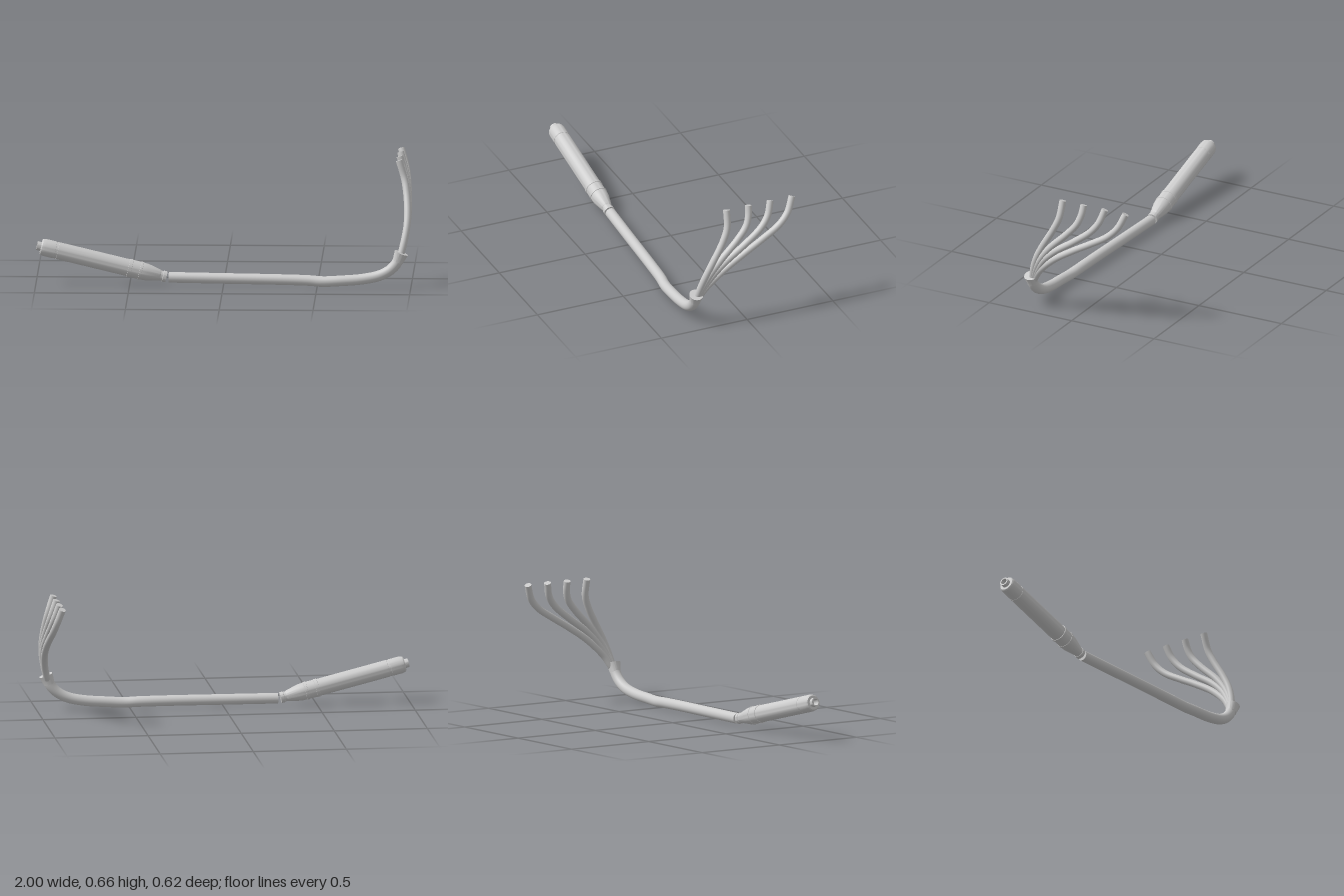
import * as THREE from 'three';
import { toCreasedNormals } from 'three/addons/utils/BufferGeometryUtils.js';

const steel = new THREE.MeshStandardMaterial({ color: 0xcccccc });
steel.name = 'brushed steel';

const vec = (p) => new THREE.Vector3(...p);
const UP = new THREE.Vector3(0, 1, 0);

// Smooth pipe through the given points, closed with a disc at each end
function pipe(name, points, radius, segments) {
  const group = new THREE.Group();
  group.name = name;
  const curve = new THREE.CatmullRomCurve3(points.map(vec), false, 'centripetal');
  const tube = new THREE.Mesh(new THREE.TubeGeometry(curve, segments, radius, 24), steel);
  tube.name = name + 'Tube';
  group.add(tube);
  for (const t of [0, 1]) {
    const cap = new THREE.Mesh(new THREE.CircleGeometry(radius, 24), steel);
    const dir = curve.getTangentAt(t).multiplyScalar(t ? 1 : -1);
    cap.name = name + 'Cap';
    cap.position.copy(curve.getPointAt(t));
    cap.quaternion.setFromUnitVectors(new THREE.Vector3(0, 0, 1), dir);
    group.add(cap);
  }
  return group;
}

// Turned part whose axis runs from a to b; profile is [radius, distance from a]
function turned(name, a, b, profile) {
  const lathe = new THREE.LatheGeometry(profile.map(([r, s]) => new THREE.Vector2(r, s)), 40);
  const mesh = new THREE.Mesh(toCreasedNormals(lathe, 0.45), steel);
  mesh.name = name;
  mesh.position.copy(vec(a));
  mesh.quaternion.setFromUnitVectors(UP, vec(b).sub(vec(a)).normalize());
  return mesh;
}

export function createModel() {
  const model = new THREE.Group();
  model.name = 'exhaustSystem';

  // Silencer: hollow outlet, end cap, body with clamp bands, tapered inlet
  model.add(turned('silencer', [-0.994, 0.213, 0.24], [-0.3, 0.043, 0.222], [
    [0, 0.04], [0.017, 0.04], [0.017, 0], [0.024, 0], [0.024, 0.022],
    [0.038, 0.022], [0.043, 0.028], [0.046, 0.045],
    [0.046, 0.1], [0.0445, 0.101], [0.0445, 0.113], [0.046, 0.114],
    [0.046, 0.5], [0.049, 0.501], [0.049, 0.518], [0.047, 0.519],
    [0.047, 0.562], [0.049, 0.563], [0.049, 0.575], [0.0465, 0.576],
    [0.045, 0.605], [0.03, 0.672], [0.027, 0.678], [0.027, 0.69],
    [0.03, 0.692], [0.03, 0.71], [0, 0.71],
  ]));

  // Long link pipe, bending upward into the collector
  model.add(pipe('linkPipe', [
    [-0.291, 0.042, 0.222], [0, 0.04, 0.237], [0.3, 0.038, 0.252], [0.46, 0.035, 0.261],
    [0.53, 0.031, 0.269], [0.62, 0.036, 0.273], [0.74, 0.046, 0.273], [0.83, 0.065, 0.273],
    [0.885, 0.093, 0.273], [0.918, 0.125, 0.273], [0.936, 0.155, 0.273],
  ], 0.0285, 80));

  // Flared collector
  model.add(turned('collector', [0.93, 0.141, 0.273], [0.949, 0.189, 0.274], [
    [0, 0], [0.0295, 0], [0.0295, 0.004], [0.0375, 0.052], [0, 0.052],
  ]));

  // Four header pipes fanning toward the back; all share one sideways bow
  const bow = new THREE.SplineCurve([
    [0.17, 0.944], [0.25, 0.964], [0.32, 0.976], [0.39, 0.98],
    [0.5, 0.971], [0.58, 0.955], [0.658, 0.932],
  ].map(([y, x]) => new THREE.Vector2(y, x))).getPoints(120);
  const bowAt = (y) => bow.reduce((m, p) => (Math.abs(p.x - y) < Math.abs(m.x - y) ? p : m)).y;
  const headers = [
    [[0.268, 0.17], [0.25, 0.245], [0.225, 0.315], [0.187, 0.39], [0.127, 0.495], [0.098, 0.565], [0.09, 0.657]],
    [[0.264, 0.17], [0.24, 0.24], [0.2, 0.315], [0.137, 0.395], [0.045, 0.485], [-0.01, 0.55], [-0.031, 0.605], [-0.037, 0.657]],
    [[0.26, 0.17], [0.23, 0.235], [0.18, 0.31], [0.11, 0.376], [0, 0.452], [-0.095, 0.525], [-0.14, 0.583], [-0.165, 0.657]],
    [[0.257, 0.17], [0.213, 0.237], [0.12, 0.324], [0, 0.402], [-0.1, 0.459], [-0.2, 0.52], [-0.255, 0.577], [-0.291, 0.656]],
  ];
  headers.forEach((path, i) => {
    model.add(pipe('headerPipe' + (i + 1), path.map(([z, y]) => [bowAt(y), y, z]), 0.0185, 60));
  });

  return model;
}
